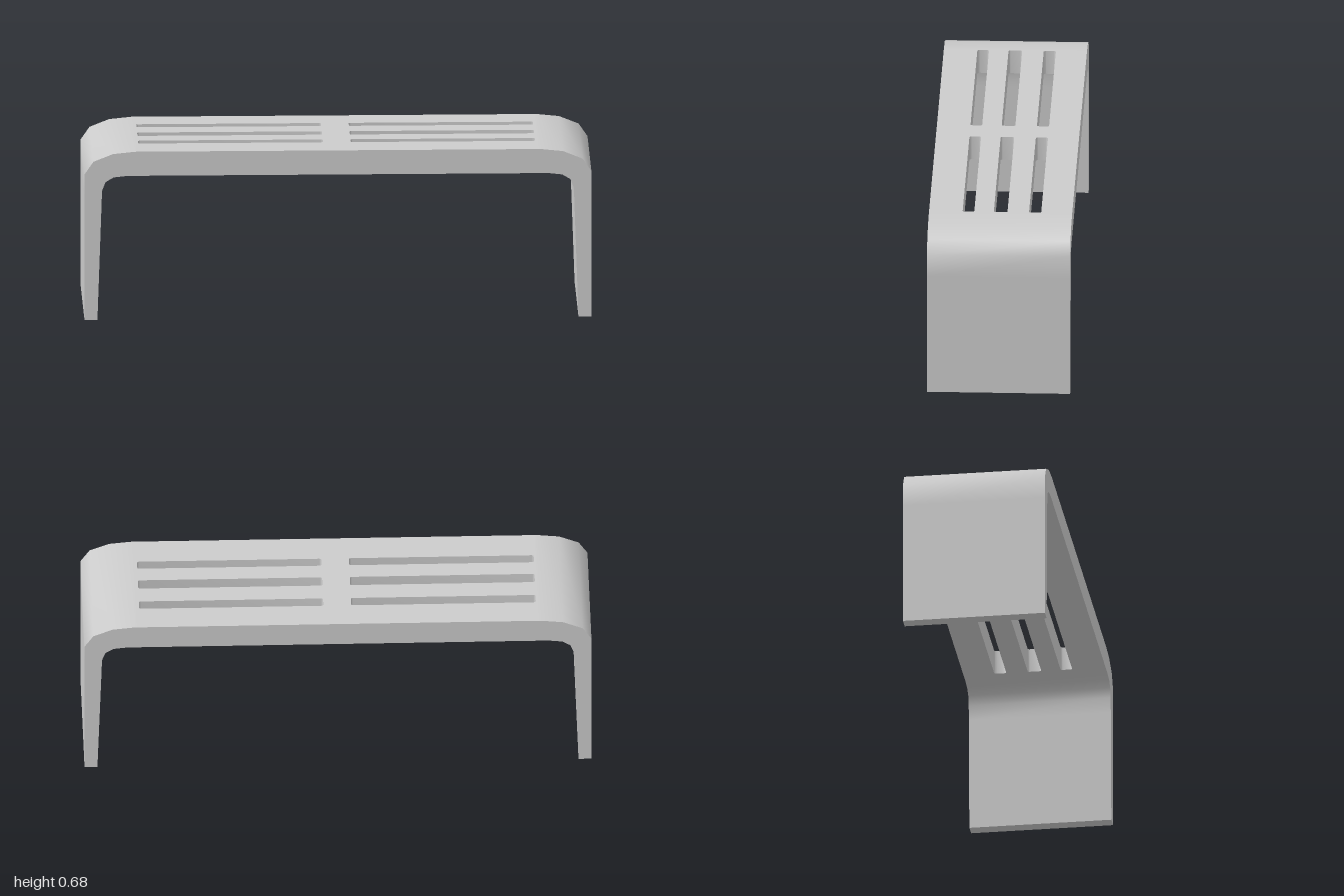
import * as THREE from 'three';
import { toCreasedNormals } from 'three/addons/utils/BufferGeometryUtils.js';

const SEAM = 0.79;      // x where the flat seat meets the bent legs
const TOP = 0.683, UNDER = 0.585, HALF_DEPTH = 0.2825;

const material = new THREE.MeshStandardMaterial({ color: 0xcccccc });

// Remove the hidden end faces lying entirely on one seam plane
function dropSeamFaces(geometry) {
  const p = geometry.attributes.position;
  const kept = [];
  for (let i = 0; i < p.count; i += 3) {
    const onPlane = x => [0, 1, 2].every(k => Math.abs(p.getX(i + k) - x) < 1e-5);
    if (onPlane(SEAM) || onPlane(-SEAM)) continue;
    for (let k = 0; k < 3; k++) kept.push(p.getX(i + k), p.getY(i + k), p.getZ(i + k));
  }
  const result = new THREE.BufferGeometry();
  result.setAttribute('position', new THREE.Float32BufferAttribute(kept, 3));
  return result;
}

function part(name, geometry) {
  const mesh = new THREE.Mesh(toCreasedNormals(dropSeamFaces(geometry), 0.75), material);
  mesh.name = name;
  return mesh;
}

function toPoints(pairs, mirror = 1) {
  return pairs.map(([x, y]) => new THREE.Vector2(x * mirror, y));
}

// Rectangle with small rounded corners, used as a slot opening
function slotPath(x0, x1, y0, y1, r = 0.008) {
  const path = new THREE.Path();
  path.moveTo(x0 + r, y0);
  path.lineTo(x1 - r, y0);
  path.quadraticCurveTo(x1, y0, x1, y0 + r);
  path.lineTo(x1, y1 - r);
  path.quadraticCurveTo(x1, y1, x1 - r, y1);
  path.lineTo(x0 + r, y1);
  path.quadraticCurveTo(x0, y1, x0, y1 - r);
  path.lineTo(x0, y0 + r);
  path.quadraticCurveTo(x0, y0, x0 + r, y0);
  return path;
}

// Flat seat with two columns of three slots
function makeSeat() {
  const shape = new THREE.Shape(toPoints([
    [-SEAM, -HALF_DEPTH], [SEAM, -HALF_DEPTH], [SEAM, HALF_DEPTH], [-SEAM, HALF_DEPTH],
  ]));
  const slotRows = [[-0.15, -0.104], [-0.027, 0.027], [0.112, 0.16]];
  for (const [y0, y1] of slotRows) {
    shape.holes.push(slotPath(-0.784, -0.055, y0, y1), slotPath(0.054, 0.781, y0, y1));
  }
  const geometry = new THREE.ExtrudeGeometry(shape, {
    depth: TOP - UNDER, bevelEnabled: false, curveSegments: 3,
  });
  geometry.rotateX(-Math.PI / 2);
  geometry.translate(0, UNDER, 0);
  return part('seat', geometry);
}

// Tapered side panel with the bend up to the seat
function makeLeg(name, side) {
  const profile = [
    [SEAM, TOP], [0.8, TOP], [0.888, 0.674], [0.965, 0.643], [1, 0.592], [1, 0.5], [1, 0],
    [0.949, 0], [0.933, 0.46], [0.931, 0.524], [0.917, 0.56], [0.885, 0.579],
    [0.83, UNDER], [SEAM, UNDER],
  ];
  const geometry = new THREE.ExtrudeGeometry(new THREE.Shape(toPoints(profile, side)), {
    depth: 2 * HALF_DEPTH, bevelEnabled: false,
  });
  geometry.translate(0, 0, -HALF_DEPTH);
  return part(name, geometry);
}

export function createModel() {
  const bench = new THREE.Group();
  bench.name = 'bench';
  bench.add(makeSeat(), makeLeg('leftLeg', 1), makeLeg('rightLeg', -1));
  return bench;
}
